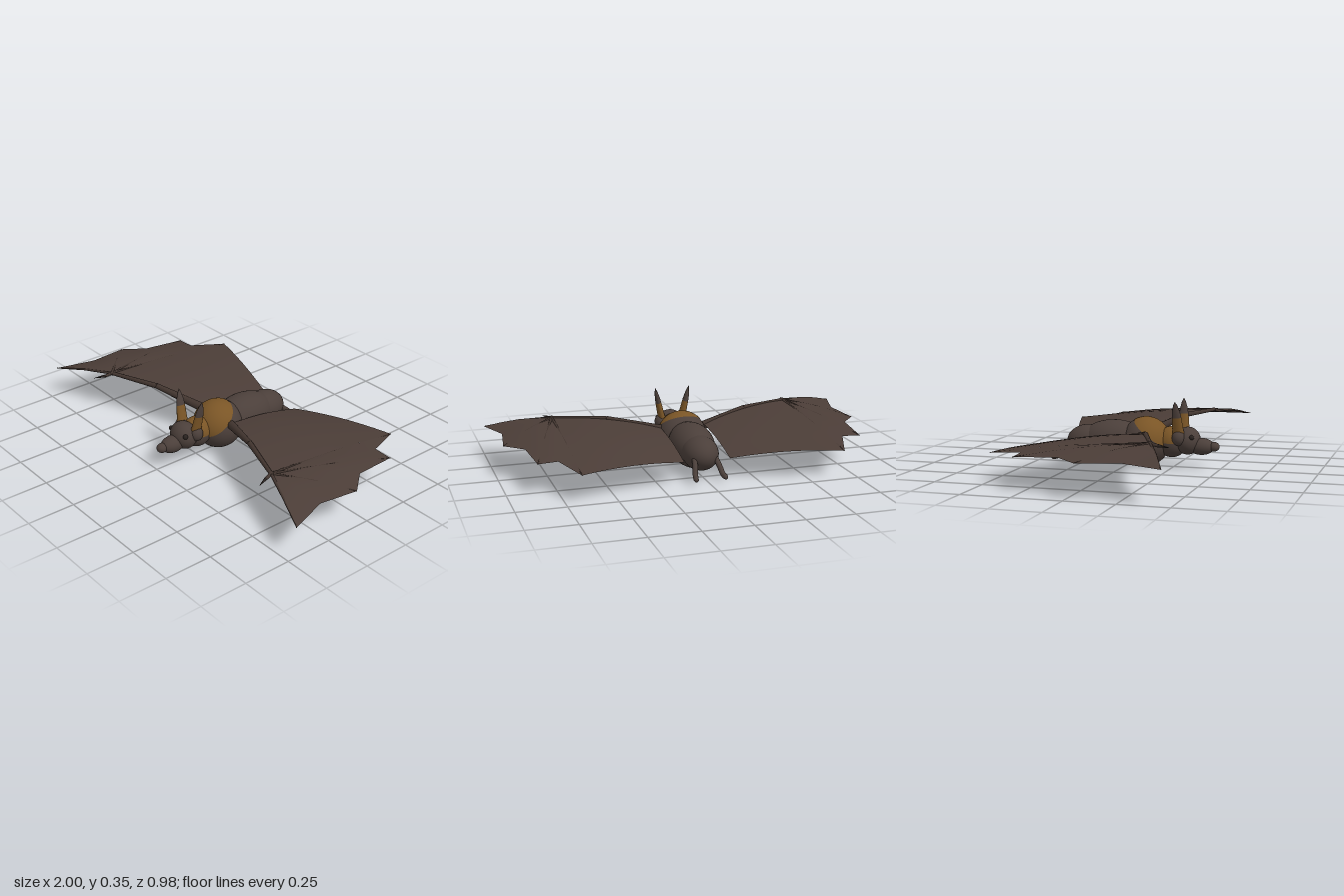
import * as THREE from 'three';

const mat = (name, color, side = THREE.FrontSide) => {
  const m = new THREE.MeshStandardMaterial({ color, side });
  m.name = name;
  return m;
};
const V = (x, y, z) => new THREE.Vector3(x, y, z);

export function createModel() {
  const fur = mat('brown fur', 0x4b3f3a);
  const gold = mat('golden mantle', 0x7a5526);
  const skin = mat('wing skin', 0x4b3d37, THREE.DoubleSide);
  const bone = mat('wing bone', 0x42352f);
  const dark = mat('dark claw and eye', 0x29221f);
  const model = new THREE.Group();

  const add = (parent, name, geo, material) => {
    const m = new THREE.Mesh(geo, material);
    m.name = name;
    parent.add(m);
    return m;
  };
  // Ellipsoid, or a cap of one tilted forward about x
  const blob = (parent, name, material, c, r, cap = Math.PI, tilt = 0) => {
    const g = new THREE.SphereGeometry(1, 32, 20, 0, Math.PI * 2, 0, cap);
    g.rotateX(tilt).scale(...r).translate(...c);
    return add(parent, name, g, material);
  };
  // Tapered rod between two points
  const rod = (parent, name, material, a, b, ra, rb, sides = 10) => {
    const d = b.clone().sub(a);
    const m = add(parent, name, new THREE.CylinderGeometry(rb, ra, d.length(), sides), material);
    m.position.copy(a).addScaledVector(d, 0.5);
    m.quaternion.setFromUnitVectors(V(0, 1, 0), d.normalize());
    return m;
  };

  // Body and head
  blob(model, 'chest', fur, [0, 0.128, 0.1], [0.13, 0.128, 0.128]);
  blob(model, 'abdomen', fur, [0, 0.121, -0.07], [0.113, 0.114, 0.19]);
  blob(model, 'rump', fur, [0, 0.117, -0.21], [0.092, 0.088, 0.123]);
  blob(model, 'neck', fur, [0, 0.13, 0.24], [0.072, 0.08, 0.08]);
  blob(model, 'head', fur, [0, 0.14, 0.325], [0.078, 0.072, 0.066]);
  blob(model, 'muzzle', fur, [0, 0.113, 0.395], [0.047, 0.044, 0.07]);
  blob(model, 'nose', fur, [0, 0.114, 0.462], [0.027, 0.025, 0.03]);

  // Golden collar over shoulders and nape
  blob(model, 'mantle', gold, [0, 0.128, 0.1], [0.132, 0.13, 0.13], 1.13, 0.66);
  blob(model, 'nape', gold, [0, 0.13, 0.24], [0.074, 0.082, 0.082], Math.PI / 2);

  // Loft of the inner membrane between arm and trailing edge
  const shoulder = V(0.12, 0.18, 0.11), wrist = V(0.66, 0.222, 0.31);
  const front = new THREE.QuadraticBezierCurve3(shoulder, V(0.38, 0.242, 0.205), wrist);
  const rear = new THREE.QuadraticBezierCurve3(V(0.12, 0.11, -0.33), V(0.4, 0.16, -0.41), V(0.675, 0.145, -0.49));
  const innerMembrane = () => {
    const n = 12, pos = [], idx = [];
    for (let i = 0; i <= n; i++) {
      const a = front.getPoint(i / n), b = rear.getPoint(i / n);
      for (let j = 0; j <= n; j++) {
        const p = a.clone().lerp(b, j / n);
        p.y += 0.014 * Math.sin(Math.PI * j / n);
        pos.push(p.x, p.y, p.z);
        if (i < n && j < n) {
          const k = i * (n + 1) + j;
          idx.push(k, k + n + 1, k + 1, k + 1, k + n + 1, k + n + 2);
        }
      }
    }
    const g = new THREE.BufferGeometry();
    g.setAttribute('position', new THREE.Float32BufferAttribute(pos, 3));
    g.setIndex(idx);
    g.computeVertexNormals();
    return g;
  };

  // Outer membrane: fan from the wrist through fingertips and notches
  const rim = [
    V(1, 0.165, 0.455), V(0.935, 0.172, 0.25), V(0.962, 0.166, 0.04), V(0.87, 0.172, -0.07),
    V(0.85, 0.16, -0.3), V(0.75, 0.165, -0.3), V(0.675, 0.145, -0.49),
  ];
  const outerMembrane = () => {
    const n = 8, pos = [], idx = [];
    rim.forEach((tip, i) => {
      for (let j = 0; j <= n; j++) {
        const p = wrist.clone().lerp(tip, j / n);
        p.y += 0.014 * Math.sin(Math.PI * j / n);
        pos.push(p.x, p.y, p.z);
        if (i < rim.length - 1 && j < n) {
          const k = i * (n + 1) + j;
          idx.push(k, k + 1, k + n + 1, k + 1, k + n + 2, k + n + 1);
        }
      }
    });
    const g = new THREE.BufferGeometry();
    g.setAttribute('position', new THREE.Float32BufferAttribute(pos, 3));
    // Wind the faces so that normals point up
    g.setIndex(idx.reverse());
    g.computeVertexNormals();
    if (g.attributes.normal.getY(4) < 0) {
      g.setIndex(idx.reverse());
      g.computeVertexNormals();
    }
    return g;
  };

  // Everything paired, built on the left and mirrored to the right
  const buildSide = (name) => {
    const side = new THREE.Group();
    side.name = name;
    add(side, 'innerMembrane', innerMembrane(), skin);
    add(side, 'outerMembrane', outerMembrane(), skin);
    const elbow = front.getPoint(0.5);
    rod(side, 'upperArm', bone, V(0.1, 0.165, 0.1), elbow, 0.024, 0.014);
    rod(side, 'forearm', bone, elbow, wrist, 0.014, 0.01);
    blob(side, 'wristJoint', bone, wrist.toArray(), [0.013, 0.011, 0.013]);
    [0, 2, 4, 6].forEach((k) => {
      const mid = wrist.clone().lerp(rim[k], 0.5);
      mid.y += 0.009;
      rod(side, 'fingerBase', bone, wrist, mid, 0.008, 0.006, 8);
      rod(side, 'fingerEnd', bone, mid, rim[k], 0.006, 0.002, 8);
    });
    rod(side, 'thumb', bone, wrist, V(0.668, 0.215, 0.35), 0.009, 0.008, 8);
    rod(side, 'thumbClaw', dark, V(0.668, 0.215, 0.35), V(0.69, 0.212, 0.408), 0.008, 0.001, 8);

    // Ear: golden root with a dark pointed blade
    const ear = new THREE.Group();
    ear.name = 'ear';
    const root = new THREE.CylinderGeometry(0.025, 0.031, 0.085, 16);
    add(ear, 'earRoot', root.translate(0, 0.0425, 0), gold);
    const blade = new THREE.LatheGeometry(
      [[0.025, 0.085], [0.021, 0.115], [0.011, 0.15], [0.0005, 0.17]].map((p) => new THREE.Vector2(...p)), 16);
    add(ear, 'earBlade', blade, fur);
    ear.scale.x = 0.6;
    ear.position.set(0.058, 0.185, 0.288);
    ear.rotation.set(-0.06, 0, -0.22);
    side.add(ear);
    blob(side, 'cheek', fur, [0.06, 0.16, 0.29], [0.035, 0.04, 0.035]);
    blob(side, 'eye', dark, [0.059, 0.165, 0.358], [0.013, 0.013, 0.013]);

    // Hind leg and foot
    const leg = new THREE.CatmullRomCurve3(
      [V(0.055, 0.11, -0.29), V(0.064, 0.075, -0.33), V(0.072, 0.042, -0.358), V(0.077, 0.033, -0.39)]);
    add(side, 'hindLeg', new THREE.TubeGeometry(leg, 16, 0.014, 10), fur);
    blob(side, 'foot', fur, [0.077, 0.033, -0.388], [0.012, 0.012, 0.014]);
    model.add(side);
    return side;
  };
  buildSide('leftSide');
  buildSide('rightSide').scale.x = -1;
  return model;
}
